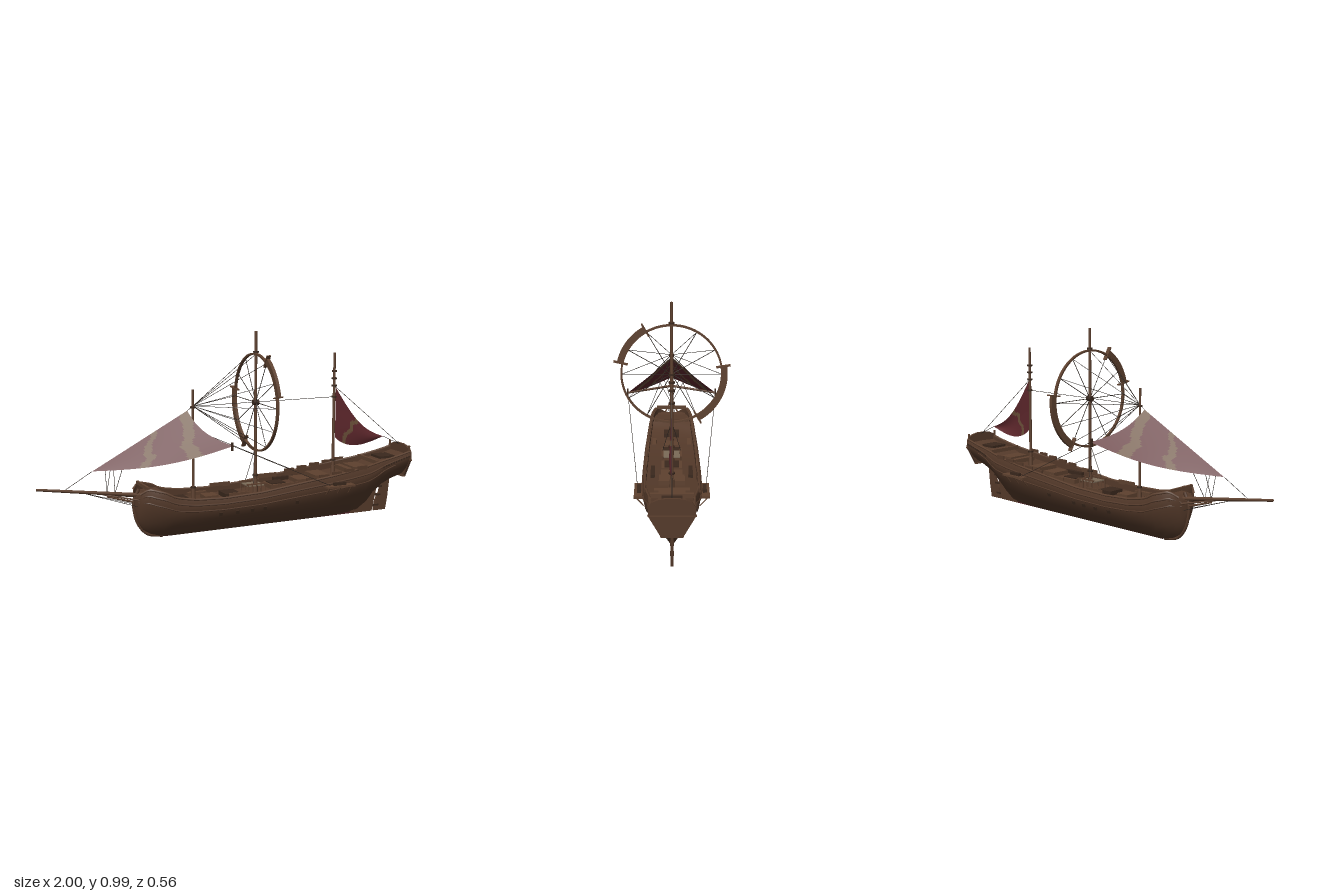
import * as THREE from 'three';
import { toCreasedNormals } from 'three/addons/utils/BufferGeometryUtils.js';

const mat = (name, color, side = THREE.FrontSide) => {
  const m = new THREE.MeshStandardMaterial({ color, side });
  m.name = name;
  return m;
};
const V = (x, y, z = 0) => new THREE.Vector3(x, y, z);

// Hull stations: x, keel height, half beam, sheer height, fineness
const STATIONS = [
  [-.522, .135, .02, .215, 1], [-.51, .085, .06, .235, 1], [-.485, .045, .085, .262, 1], [-.44, .018, .105, .252, 1],
  [-.39, .003, .117, .238, 1], [-.35, 0, .121, .214, 1], [-.25, 0, .127, .197, 1], [-.1, 0, .133, .191, 1],
  [.1, 0, .136, .199, 1], [.3, 0, .137, .222, 1], [.5, 0, .136, .243, 1.05], [.62, 0, .132, .257, 1.3],
  [.72, .005, .125, .271, 1.7], [.78, .045, .116, .281, 1.7], [.82, .1, .108, .289, 1.4], [.87, .14, .104, .298, 1.1],
  [.93, .167, .101, .31, 1], [.992, .185, .1, .325, 1]];
const SECTION = [[0, .04], [.06, .2], [.16, .4], [.3, .61], [.48, .81], [.66, .94], [.84, 1], [1, .93]];

// Point on the hull side: x along the ship, t from keel (0) to sheer (1)
function hullPoint(x, t, side, out = 0) {
  let i = 0;
  while (i < STATIONS.length - 2 && STATIONS[i + 1][0] < x) i++;
  const a = STATIONS[i], b = STATIONS[i + 1], k = (x - a[0]) / (b[0] - a[0]);
  const [, keel, w, s, p] = a.map((v, n) => v + (b[n] - v) * k);
  let j = 0;
  while (j < SECTION.length - 2 && SECTION[j + 1][0] < t) j++;
  const c = SECTION[j], d = SECTION[j + 1];
  const f = c[1] + (d[1] - c[1]) * (t - c[0]) / (d[0] - c[0]);
  return V(x, keel + (s - keel) * t, side * (w * Math.pow(f, p) + out));
}

function hullGeometry() {
  const pos = [], idx = [], n = 22;
  for (const [x, keel, w, s, p] of STATIONS) {
    const half = SECTION.map(([t, f]) => [keel + (s - keel) * t, w * Math.pow(f, p)]);
    const inner = Math.max(w * .93 - .01, .004), deck = s - (x > .78 ? .018 : .03);
    half.push([s, inner], [deck, inner], [deck + .003, .002]);
    for (const [y, z] of half) pos.push(x, y, z);
    for (const [y, z] of half.reverse()) pos.push(x, y, -z);
  }
  const quad = (a, b, c, d) => idx.push(a, b, c, a, c, d);
  for (let i = 0; i < STATIONS.length - 1; i++) for (let j = 0; j < n; j++) {
    const k = (j + 1) % n;
    quad(i * n + j, (i + 1) * n + j, (i + 1) * n + k, i * n + k);
  }
  const e = (STATIONS.length - 1) * n;
  for (let j = 0; j < 7; j++) {
    quad(j, j + 1, n - 2 - j, n - 1 - j);
    quad(e + n - 1 - j, e + n - 2 - j, e + j + 1, e + j);
  }
  const g = new THREE.BufferGeometry();
  g.setAttribute('position', new THREE.Float32BufferAttribute(pos, 3));
  g.setIndex(idx);
  return toCreasedNormals(g, .7);
}

// Sail cloth from a surface rule, with patches chosen by a second rule
function clothGeometry(point, isPatch, nu = 60, nv = 24) {
  const pos = [], lists = [[], []];
  for (let i = 0; i <= nu; i++) for (let j = 0; j <= nv; j++) pos.push(...point(i / nu, j / nv).toArray());
  for (let i = 0; i < nu; i++) for (let j = 0; j < nv; j++) {
    const a = i * (nv + 1) + j, b = a + nv + 1;
    lists[isPatch((i + .5) / nu, (j + .5) / nv) ? 1 : 0].push(a, b, b + 1, a, b + 1, a + 1);
  }
  const g = new THREE.BufferGeometry();
  g.setAttribute('position', new THREE.Float32BufferAttribute(pos, 3));
  g.setIndex([...lists[0], ...lists[1]]);
  g.addGroup(0, lists[0].length, 0);
  g.addGroup(lists[0].length, lists[1].length, 1);
  g.computeVertexNormals();
  return g;
}

export function createModel() {
  const root = new THREE.Group();
  root.name = 'sailingShip';
  const hullMat = mat('hullWood', 0x553a2a, THREE.DoubleSide), wood = mat('sparWood', 0x5e412f);
  const dark = mat('darkWood', 0x3a281d), ropeMat = mat('rope', 0x2b241f), pale = mat('paleGrating', 0x7b6b58);
  const red = mat('sailRed', 0x5e272c, THREE.DoubleSide), tan = mat('sailPatch', 0x6b5039, THREE.DoubleSide);
  const keelRed = mat('keelRed', 0x4a2224);

  const add = (name, geo, m, parent = root) => {
    const o = new THREE.Mesh(geo, m);
    o.name = name;
    parent.add(o);
    return o;
  };
  const box = (name, x, y, z, w, h, d, m = wood) => {
    const o = add(name, new THREE.BoxGeometry(w, h, d), m);
    o.position.set(x, y, z);
    return o;
  };
  const rod = (name, a, b, r0, r1 = r0, m = wood, sides = 10) => {
    const o = add(name, new THREE.CylinderGeometry(r1, r0, a.distanceTo(b), sides), m);
    o.position.copy(a).lerp(b, .5);
    o.quaternion.setFromUnitVectors(V(0, 1), b.clone().sub(a).normalize());
    return o;
  };
  const rope = (a, b) => rod('rope', a, b, .0013, .0013, ropeMat, 5);

  // Hull, rails and wales
  add('hull', hullGeometry(), hullMat);
  box('keel', .21, .004, 0, 1.16, .008, .011, keelRed);
  for (const s of [-1, 1]) {
    for (const [name, t, r, x0, x1, m] of [['railCap', 1, .006, -.51, .99, wood], ['upperWale', .86, .005, -.515, .99, hullMat],
      ['lowerWale', .7, .0035, -.515, .9, hullMat]]) {
      const pts = [];
      for (let i = 0; i <= 40; i++) pts.push(hullPoint(x0 + (x1 - x0) * i / 40, t, s));
      add(name, new THREE.TubeGeometry(new THREE.CatmullRomCurve3(pts), 80, r, 6), m);
    }
    // Gun ports
    for (const x of [-.12, -.03, .05, .12, .3]) {
      const p = hullPoint(x, .58, s, .002);
      box('gunPort', p.x, p.y, p.z, .018, .018, .008, dark).rotation.x = s * .3;
    }
    // Side platforms with a swivel chest
    box('sidePlatform', .53, .195, s * .15, .16, .01, .045);
    box('platformChest', .53, .207, s * .15, .07, .016, .018, dark);
    for (const x of [.465, .53, .595]) rod('platformBrace', V(x, .15, s * .128), V(x, .192, s * .165), .003);
    // Stern quarter beads and rail posts
    for (let i = 0; i < 11; i++) {
      const p = hullPoint(.82 + i * .016, .84, s, .003);
      box('sternBead', p.x, p.y, p.z, .008, .01, .008, dark);
    }
    for (let i = 0; i < 5; i++) box('rearBulwark', .38 + i * .075, .237 + i * .0085, s * .122, .055, .02, .008, hullMat);
    box('sternPost', .985, .338, s * .092, .009, .035, .009);
    // Bulwark screens amidships
    box('bulwarkScreen', -.02, .2, s * .118, .11, .022, .006);
    box('bulwarkScreen', .25, .222, s * .12, .11, .022, .006);
  }

  // Stem post and forecastle
  const stem = new THREE.CatmullRomCurve3([V(-.5, .25), V(-.526, .19), V(-.522, .13), V(-.505, .075), V(-.46, .022), V(-.38, .004)]);
  add('stemPost', new THREE.TubeGeometry(stem, 24, .008, 6), hullMat);
  box('forecastleBeam', -.478, .264, 0, .012, .016, .16);
  box('forecastleDeck', -.43, .222, 0, .1, .012, .18, hullMat);

  // Transom with a rounded taffrail
  const tr = new THREE.Shape([[-.045, .18], [.045, .18], [.1, .278], [.098, .318], [.085, .338], [.06, .35], [.025, .356],
    [-.025, .356], [-.06, .35], [-.085, .338], [-.098, .318], [-.1, .278]].map(p => new THREE.Vector2(...p)));
  const transom = add('transom', new THREE.ExtrudeGeometry(tr, { depth: .012, bevelEnabled: false }), hullMat);
  transom.rotation.y = -Math.PI / 2;
  transom.position.x = .998;
  box('transomLedge', .994, .279, 0, .012, .007, .205);
  box('transomSill', .985, .184, 0, .014, .008, .1);

  // Deadwood and rudder
  const plate = (name, pts) => {
    const s = new THREE.Shape(pts.map(p => new THREE.Vector2(...p)));
    add(name, new THREE.ExtrudeGeometry(s, { depth: .014, bevelEnabled: false }), hullMat).position.z = -.007;
  };
  plate('deadwood', [[.68, 0], [.815, 0], [.85, .16], [.76, .16], [.7, .06]]);
  plate('rudder', [[.828, 0], [.9, 0], [.912, .07], [.922, .165], [.868, .165], [.862, .1], [.84, .06]]);
  for (const y of [.03, .085, .13]) box('rudderHinge', .832 + y * .2, y, 0, .035, .009, .018, dark);

  // Deck fittings
  for (const [name, x, y, w, h, d, m] of [['foreHatch', -.29, .18, .07, .02, .08, dark], ['foreGrating', -.13, .176, .07, .02, .07, wood],
    ['midHatch', -.02, .178, .08, .022, .09, dark], ['mainGrating', .11, .214, .09, .005, .08, pale], ['mainHatch', .24, .2, .1, .022, .1, wood],
    ['hatchCover', .24, .213, .08, .006, .07, dark], ['aftHatch', .38, .215, .08, .02, .1, wood], ['deckHouse', .48, .226, .08, .026, .12, wood],
    ['deckStep', .65, .243, .03, .022, .16, wood], ['cabinTop', .71, .254, .08, .016, .12, wood], ['poopHatch', .88, .295, .09, .012, .09, dark],
    ['poopBeam', .79, .283, .014, .02, .19, wood]]) box(name, x, y, 0, w, h, d, m);
  for (const s of [-1, 1]) {
    for (let i = 0; i < 5; i++) rod('pinRailPost', V(.065 + i * .023, .175, s * .045), V(.065 + i * .023, .224, s * .045), .003);
    box('pinRail', .111, .224, s * .045, .11, .006, .01);
    box('deckBench', -.16, .175, s * .09, .1, .016, .02);
    box('deckBench', .33, .207, s * .09, .12, .018, .02, dark);
  }

  // Masts with bands, bowsprit and beakhead
  for (const [name, x, y0, y1, r, bands] of [['foreMast', -.215, .16, .717, .007, [.63, .47, .23]],
    ['mainMast', .125, .17, .987, .0085, [.885, .632, .26]], ['mizzenMast', .575, .2, .86, .008, [.765, .728, .69, .632, .3]]]) {
    rod(name, V(x, y0), V(x, y1), r, r * .8);
    for (const y of bands) rod(name + 'Band', V(x, y - .004), V(x, y + .004), r + .006, r + .006, dark);
    rod(name + 'Foot', V(x, y0), V(x, y0 + .07), r + .005, r + .003);
  }
  rod('bowsprit', V(-.38, .202), V(-1, .295), .011, .006);
  rod('beakBeam', V(-.5, .18), V(-.66, .228), .006, .004);
  for (const s of [-1, 1]) {
    rod('beakRail', V(-.49, .2, s * .05), V(-.68, .24), .004);
    rope(V(-.5, .165, s * .03), V(-.78, .258));
  }

  // Tent-shaped foresail on two booms
  const tip = V(-.73, .358), apex = V(-.245, .615);
  for (const s of [-1, 1]) {
    const clew = V(-.1, .467, s * .222);
    const point = (u, v) => {
      const ridge = tip.clone().lerp(apex, u), foot = tip.clone().lerp(clew, u);
      foot.y -= .022 * Math.sin(Math.PI * u);
      foot.z += s * .035 * Math.sin(Math.PI * u);
      const p = ridge.lerp(foot, v), sag = u * Math.sin(Math.PI * v);
      return p.add(V(-.03 * sag, -.014 * sag));
    };
    const patch = (u, v) => {
      const wob = .018 * Math.sin(v * 11 + 1) + .01 * Math.sin(v * 23);
      return Math.abs(u - .36 - .26 * (1 - v) - wob) < .038 || Math.abs(u - .7 - .3 * (1 - v) + wob) < .055;
    };
    add('foreSail', clothGeometry(point, patch), [red, tan]);
    rod('foreBoom', V(-.215, .468), clew, .006, .005);
    box('boomEnd', -.105, .465, s * .222, .01, .04, .008, dark);
    rope(clew, V(.47, .205, s * .16));
    rope(point(.2, 1), V(-.62, .24));
    rope(point(.12, 1), V(-.66, .245));
  }
  rope(tip, V(-.87, .277));
  rope(apex, V(-.215, .635));

  // Mizzen sail
  const mizzen = (u, v) => {
    const top = V(.585 + .295 * u, .68 - .28 * u - .055 * Math.sin(Math.PI * u));
    const foot = V(.585 + .295 * u, .42 - .02 * u - .046 * Math.sin(Math.PI * Math.pow(u, .75)));
    return top.lerp(foot, v).add(V(0, 0, .012 * Math.sin(Math.PI * u) * Math.sin(Math.PI * v)));
  };
  add('mizzenSail', clothGeometry(mizzen, (u, v) => Math.abs(u - .3 + .28 * (v - .5) - .02 * Math.sin(v * 14)) < .035), [red, tan]);
  rope(V(.575, .69), V(.99, .345));
  rope(V(.88, .4), V(.985, .35));

  // Great wheel around the main mast
  const wheel = new THREE.Group();
  wheel.name = 'greatWheel';
  wheel.position.set(.125, .632, 0);
  wheel.rotation.y = -Math.PI / 2;
  root.add(wheel);
  const arc = (name, r0, r1, a0, a1, depth, m) => {
    const s = new THREE.Shape();
    s.absarc(0, 0, r1, a0, a1, false);
    s.absarc(0, 0, r0, a1, a0, true);
    const g = new THREE.ExtrudeGeometry(s, { depth, bevelEnabled: false, curveSegments: 64 });
    add(name, toCreasedNormals(g, .5), m, wheel).position.z = -depth / 2;
  };
  arc('wheelRim', .238, .247, 0, Math.PI * 2, .014, wood);
  const rad = Math.PI / 180;
  for (const [a0, a1] of [[13, 60], [171, 240]]) {
    arc('wheelVane', .245, .27, a0 * rad, a1 * rad, .016, wood);
    for (const a of [a0, a1]) {
      const bar = add('vaneEnd', new THREE.BoxGeometry(.07, .006, .022), wood, wheel);
      bar.position.set(Math.cos(a * rad) * .252, Math.sin(a * rad) * .252, 0);
      bar.rotation.z = a * rad;
    }
  }
  rod('wheelHub', V(.11, .632), V(.14, .632), .014, .014, dark);
  for (let i = 0; i < 12; i++) {
    const a = i * Math.PI / 6, p = V(.125, .632 + Math.sin(a) * .241, Math.cos(a) * .241);
    rod('wheelSpoke', V(.125, .632), p, .0018, .0018, ropeMat, 5);
    rope(V(-.215, .635), p);
  }
  rope(V(-.215, .635), V(.575, .632));
  for (const s of [-1, 1]) rope(V(.12, .39), V(.09, .225, s * .045));
  return root;
}
